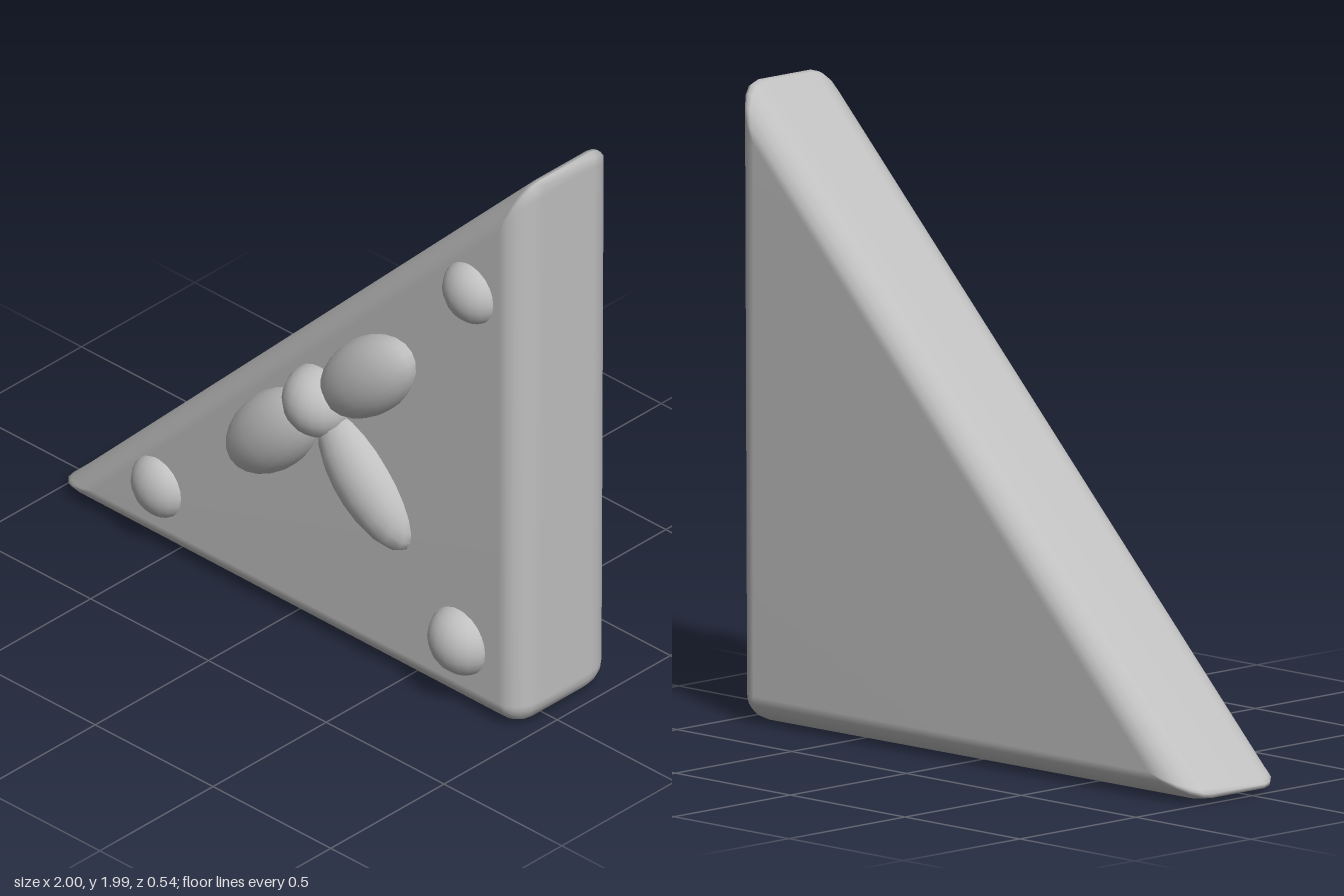
import * as THREE from 'three';
import { mergeVertices } from 'three/addons/utils/BufferGeometryUtils.js';

const FRONT = 0.155, BACK = -0.27, BEVEL = 0.1, STEPS = 5;

// Each corner of the flat face, with the outline points that bulge out from it
function outline() {
  const left = [-0.82, 0.09], right = [0.9, 0.09], top = [0.9, 1.81];
  const ring = [[-0.985, 0.045], [-1, 0.034], [-0.995, 0.02], [-0.95, 0.012]]
    .map((p) => ({ inner: left, outer: p }));
  for (let i = 0; i <= 5; i++) {
    const a = -Math.PI / 2 + (i / 5) * Math.PI / 2;
    ring.push({ inner: right, outer: [0.9 + 0.08 * Math.cos(a), 0.09 + 0.085 * Math.sin(a)] });
  }
  [[0.995, 1.94], [0.995, 1.98], [0.98, 1.99], [0.96, 1.985]]
    .forEach((p) => ring.push({ inner: top, outer: p }));
  return ring;
}

// Triangular slab: rings swept from the back face round the bevels to the front face
function slabGeometry() {
  const ring = outline(), n = ring.length, pos = [], idx = [];
  const addRing = (a, z) => ring.forEach(({ inner, outer }) => pos.push(
    inner[0] + (outer[0] - inner[0]) * Math.cos(a),
    inner[1] + (outer[1] - inner[1]) * Math.cos(a),
    z + BEVEL * Math.sin(a)));
  for (let i = 0; i <= STEPS; i++) addRing((i / STEPS - 1) * Math.PI / 2, BACK + BEVEL);
  for (let i = 0; i <= STEPS; i++) addRing((i / STEPS) * Math.PI / 2, FRONT - BEVEL);
  const rings = pos.length / 3 / n;
  for (let r = 0; r < rings - 1; r++) {
    for (let i = 0; i < n; i++) {
      const a = r * n + i, b = r * n + (i + 1) % n;
      idx.push(a, b, b + n, a, b + n, a + n);
    }
  }
  // flat faces join the three inner corners
  const last = (rings - 1) * n;
  idx.push(last, last + 4, last + n - 1, 0, n - 1, 4);
  const g = new THREE.BufferGeometry();
  g.setAttribute('position', new THREE.Float32BufferAttribute(pos, 3));
  g.setIndex(idx);
  const merged = mergeVertices(g, 1e-5);
  merged.computeVertexNormals();
  return merged;
}

export function createModel() {
  const group = new THREE.Group();
  const stone = new THREE.MeshStandardMaterial({ color: 0xc0c0c0 });
  stone.name = 'plain grey';

  const add = (name, geometry) => {
    const mesh = new THREE.Mesh(geometry, stone);
    mesh.name = name;
    group.add(mesh);
    return mesh;
  };
  add('triangularSlab', slabGeometry());

  // Stretched ball half sunk into the front face
  const ball = new THREE.SphereGeometry(1, 18, 12);
  const bump = (name, x, y, z, sx, sy, sz, angle = 0) => {
    const mesh = add(name, ball);
    mesh.position.set(x, y, z);
    mesh.scale.set(sx, sy, sz);
    mesh.rotation.z = angle;
  };

  // Studs near the three corners
  bump('topStud', 0.775, 1.535, 0.135, 0.107, 0.107, 0.085);
  bump('leftStud', -0.55, 0.23, 0.135, 0.107, 0.107, 0.08);
  bump('rightStud', 0.73, 0.245, 0.135, 0.117, 0.117, 0.102);

  // Three petals around a centre bead
  bump('upperPetal', 0.352, 1.042, 0.145, 0.25, 0.123, 0.1, 0.75);
  bump('lowerLeftPetal', -0.052, 0.662, 0.145, 0.25, 0.123, 0.1, 0.79);
  bump('lowerRightPetal', 0.338, 0.655, 0.145, 0.25, 0.12, 0.1, -0.8);
  bump('flowerCentre', 0.14, 0.86, 0.15, 0.12, 0.12, 0.12);

  return group;
}
